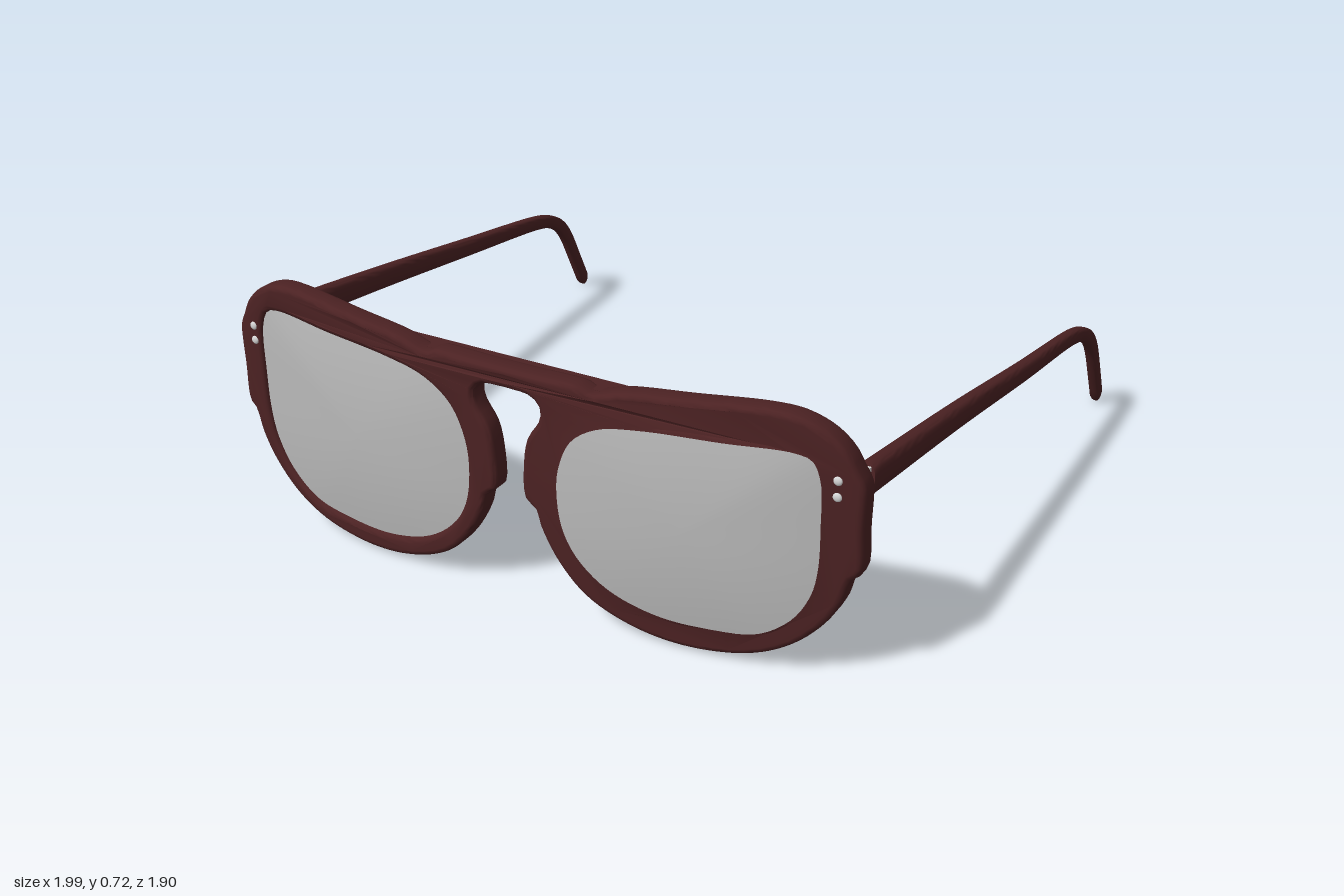
import * as THREE from 'three';
import { toCreasedNormals } from 'three/addons/utils/BufferGeometryUtils.js';

const frameMat = new THREE.MeshStandardMaterial({ color: 0x4c2223 });
frameMat.name = 'dark red acetate';
const lensMat = new THREE.MeshStandardMaterial({ color: 0xbababa, side: THREE.DoubleSide });
lensMat.name = 'pale grey lens';
const metalMat = new THREE.MeshStandardMaterial({ color: 0xd6d6d6 });
metalMat.name = 'light metal';

// front face of the wrapped frame: bends back towards the temples
const frontZ = (x) => 0.95 - 0.09 * x * x;

const spline = (pts, n, closed) => new THREE.CatmullRomCurve3(
  pts.map(([x, y]) => new THREE.Vector3(x, y, 0)), closed, 'centripetal'
).getSpacedPoints(n).map((p) => new THREE.Vector2(p.x, p.y));

// left half of the outline, from the top of the bridge round to its underside
const OUTLINE = [
  [0, 0.69], [0.1, 0.69], [0.2, 0.69], [0.222, 0.686], [0.245, 0.675], [0.33, 0.697], [0.5, 0.715],
  [0.7, 0.733], [0.78, 0.728], [0.85, 0.7], [0.9, 0.655], [0.93, 0.6], [0.944, 0.575],
  [0.945, 0.45], [0.942, 0.335], [0.92, 0.315], [0.9, 0.25], [0.86, 0.18], [0.78, 0.1], [0.67, 0.045],
  [0.5, 0.02], [0.35, 0.037], [0.22, 0.09], [0.14, 0.17], [0.09, 0.26], [0.075, 0.31],
  [0.047, 0.33], [0.045, 0.44], [0.06, 0.51], [0.095, 0.565], [0.1, 0.6], [0.075, 0.628], [0, 0.635],
];
const OPENING = [
  [0.13, 0.38], [0.14, 0.46], [0.18, 0.545], [0.26, 0.6], [0.38, 0.625], [0.6, 0.64], [0.78, 0.65],
  [0.83, 0.635], [0.855, 0.58], [0.86, 0.45], [0.857, 0.33], [0.84, 0.25], [0.79, 0.165],
  [0.7, 0.1], [0.58, 0.08], [0.42, 0.08], [0.28, 0.12], [0.19, 0.19], [0.145, 0.27],
];

function frontGeometry() {
  const half = spline(OUTLINE, 130, false);
  const other = half.slice(1, -1).reverse().map((p) => new THREE.Vector2(-p.x, p.y));
  const shape = new THREE.Shape([...half, ...other]);
  const hole = spline(OPENING, 90, true).slice(0, -1);
  shape.holes.push(new THREE.Path(hole));
  shape.holes.push(new THREE.Path(hole.map((p) => new THREE.Vector2(-p.x, p.y))));
  const b = 0.015;
  const geo = new THREE.ExtrudeGeometry(shape, {
    depth: 0.065 - 2 * b, bevelThickness: b, bevelSize: b, bevelOffset: -b, bevelSegments: 3,
  });
  const pos = geo.attributes.position;
  for (let i = 0; i < pos.count; i++) {
    pos.setZ(i, pos.getZ(i) + b - 0.065 + frontZ(pos.getX(i)));
  }
  return toCreasedNormals(geo, 0.6);
}

function indexed(verts, index) {
  const geo = new THREE.BufferGeometry();
  geo.setAttribute('position', new THREE.Float32BufferAttribute(verts, 3));
  geo.setIndex(index);
  geo.computeVertexNormals();
  return geo;
}

// concentric rings of the opening, gently domed forward
function lensGeometry(side) {
  const rim = spline(OPENING, 72, true).slice(0, -1);
  const n = rim.length, rings = 10, verts = [], index = [];
  for (let r = 0; r <= rings; r++) {
    const s = r / rings;
    for (const p of rim) {
      const x = 0.5 + (p.x - 0.5) * s * 1.02, y = 0.36 + (p.y - 0.36) * s * 1.02;
      verts.push(side * x, y, frontZ(x) - 0.012 + 0.02 * (1 - s * s));
    }
  }
  for (let r = 0; r < rings; r++) {
    for (let j = 0; j < n; j++) {
      const a = r * n + j, b = r * n + (j + 1) % n, c = a + n, d = b + n;
      // the opening runs clockwise on the left side
      if (side > 0) index.push(a, b, c, b, d, c);
      else index.push(a, c, b, b, c, d);
    }
  }
  return indexed(verts, index);
}

// tapered rounded bar swept along the side of the head and down behind the ear
function templeGeometry(side) {
  const path = new THREE.CatmullRomCurve3([
    [0.918, 0.56, 0.805], [0.936, 0.49, 0.27], [0.954, 0.421, -0.2], [0.966, 0.36, -0.62],
    [0.97, 0.338, -0.7], [0.974, 0.3, -0.77], [0.976, 0.25, -0.815], [0.978, 0.13, -0.88], [0.979, 0.018, -0.937],
  ].map((p) => new THREE.Vector3(...p)), false, 'centripetal');
  const steps = 60, n = 20, verts = [], index = [];
  const ring = (t, scale) => {
    const p = path.getPointAt(t), d = path.getTangentAt(t);
    const len = Math.hypot(d.y, d.z), by = d.z / len, bz = -d.y / len;
    const w = (0.026 - 0.009 * t) * scale, h = (0.041 - 0.018 * Math.min(1, t * 1.3)) * scale;
    for (let j = 0; j < n; j++) {
      const a = (j / n) * Math.PI * 2, c = Math.cos(a), s = Math.sin(a);
      const u = w * Math.sign(c) * Math.abs(c) ** 0.65, v = h * Math.sign(s) * Math.abs(s) ** 0.65;
      verts.push(side * (p.x + u), p.y + v * by, p.z + v * bz);
    }
  };
  ring(0, 0.001);
  ring(0, 0.92);
  for (let i = 0; i <= steps; i++) {
    const t = 0.005 + 0.98 * (i / steps);
    ring(t, 1);
  }
  ring(0.994, 0.8);
  ring(1, 0.5);
  ring(1, 0.001);
  const rows = verts.length / 3 / n;
  for (let i = 0; i < rows - 1; i++) {
    for (let j = 0; j < n; j++) {
      const a = i * n + j, b = i * n + (j + 1) % n, c = a + n, d = b + n;
      if (side > 0) index.push(a, b, c, b, d, c);
      else index.push(a, c, b, b, c, d);
    }
  }
  return toCreasedNormals(indexed(verts, index), 0.8);
}

// straight-backed ledge behind the brow, tapering into the rims
function browGeometry() {
  const shape = new THREE.Shape();
  shape.moveTo(-0.58, 0.855);
  shape.lineTo(0.58, 0.855);
  for (let i = 0; i <= 16; i++) {
    const x = 0.58 - (1.16 * i) / 16;
    shape.lineTo(x, frontZ(x) - 0.03);
  }
  const geo = new THREE.ExtrudeGeometry(shape, { depth: 0.03, bevelEnabled: false });
  geo.rotateX(Math.PI / 2);
  geo.translate(0, 0.677, 0);
  return geo;
}

export function createModel() {
  const group = new THREE.Group();
  const add = (name, geo, mat, x = 0, y = 0, z = 0) => {
    const mesh = new THREE.Mesh(geo, mat);
    mesh.name = name;
    mesh.position.set(x, y, z);
    group.add(mesh);
    return mesh;
  };

  add('frontFrame', frontGeometry(), frameMat);
  add('browLedge', browGeometry(), frameMat);

  for (const side of [1, -1]) {
    const label = side > 0 ? 'left' : 'right';
    add(label + 'Lens', lensGeometry(side), lensMat);
    add(label + 'Temple', templeGeometry(side), frameMat);
    // hinge barrel between frame and temple
    add(label + 'Hinge', new THREE.CylinderGeometry(0.014, 0.014, 0.07, 16), metalMat, side * 0.917, 0.56, 0.803);
    // two rivets on the front corner
    for (const y of [0.583, 0.54]) {
      const rivet = add(label + 'Rivet', new THREE.SphereGeometry(0.012, 16, 10), metalMat, side * 0.882, y, frontZ(0.882));
      rivet.scale.z = 0.5;
    }
  }
  return group;
}
